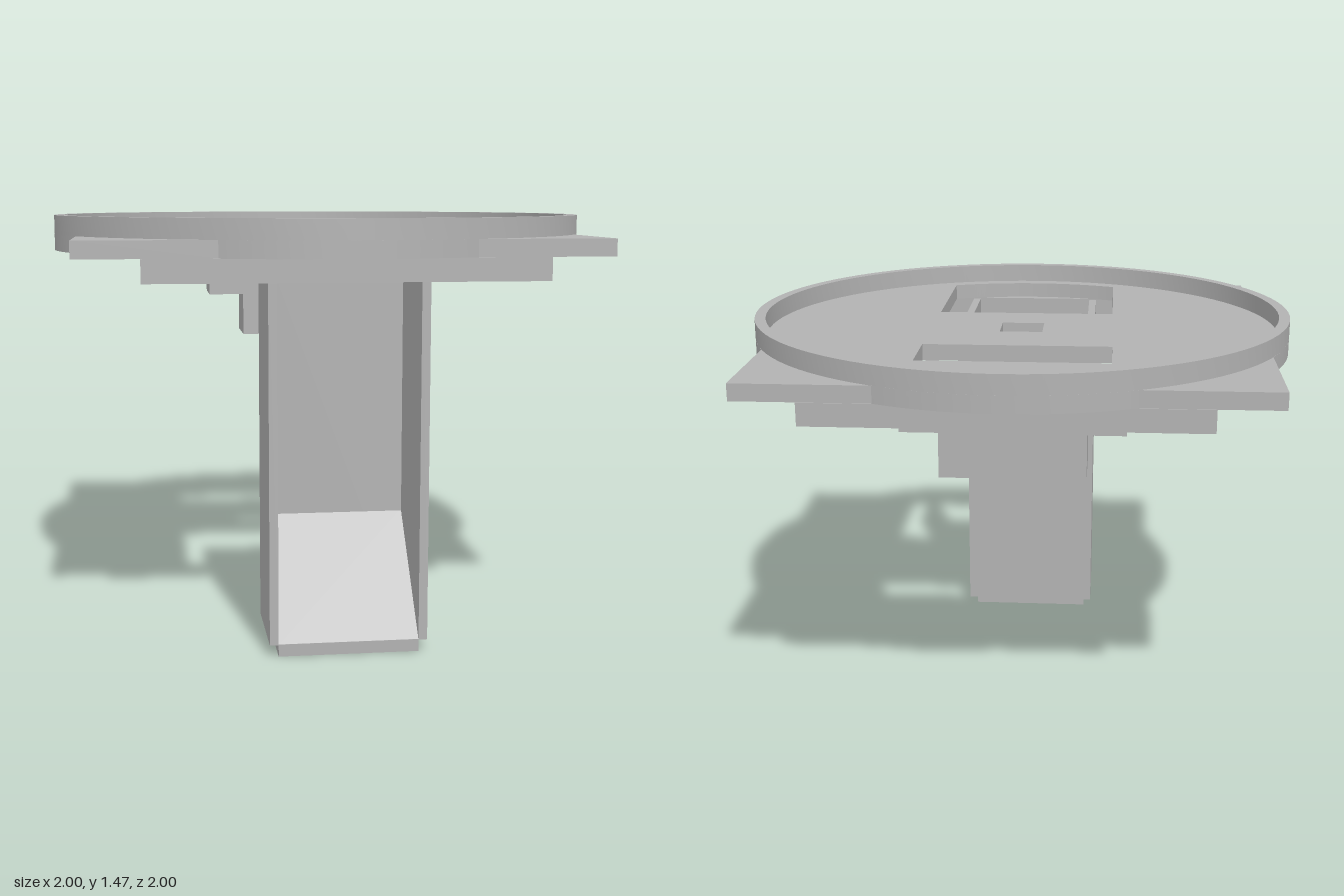
import * as THREE from 'three';
import { toCreasedNormals } from 'three/addons/utils/BufferGeometryUtils.js';

const grey = new THREE.MeshStandardMaterial({ color: 0xb2b2b2 });
grey.name = 'plain grey';

// Closed outline through [x, z] points
const outline = (pts) => new THREE.Shape(pts.map(([x, z]) => new THREE.Vector2(x, z)));
const rect = (x, z0, z1) => outline([[-x, z0], [x, z0], [x, z1], [-x, z1]]);

export function createModel() {
  const model = new THREE.Group();

  const add = (name, geometry) => {
    const mesh = new THREE.Mesh(geometry, grey);
    mesh.name = name;
    model.add(mesh);
    return mesh;
  };

  // Plan outline (x, z) extruded between two heights
  const slab = (name, shape, y0, y1, holes = []) => {
    shape.holes.push(...holes);
    const g = new THREE.ExtrudeGeometry(shape, { depth: y1 - y0, bevelEnabled: false, curveSegments: 48 });
    g.rotateX(Math.PI / 2).translate(0, y1, 0);
    return add(name, toCreasedNormals(g, 0.4));
  };

  // Deck: square plate merged with a disc that bulges past each side
  const half = 0.903, phi = Math.acos(half);
  const deck = new THREE.Shape();
  for (let k = 0; k < 4; k++) {
    const a = k * Math.PI / 2, c = a + Math.PI / 4;
    deck.absarc(0, 0, 1, a - phi, a + phi, false);
    deck.lineTo(half * Math.SQRT2 * Math.cos(c), half * Math.SQRT2 * Math.sin(c));
  }
  deck.closePath();

  // Front opening ends in an arc that follows the rim
  const w = 0.343, r = 0.9, t = Math.acos(w / r);
  const frontOpening = new THREE.Path();
  frontOpening.moveTo(-w, 0.26);
  frontOpening.lineTo(w, 0.26);
  frontOpening.absarc(0, 0, r, t, Math.PI - t, false);
  frontOpening.closePath();

  slab('deck', deck, 1.34, 1.4, [frontOpening, rect(0.08, -0.08, 0.075), rect(w, -0.555, -0.307)]);

  // Raised circular rim
  const rim = new THREE.Shape().absarc(0, 0, 1, 0, Math.PI * 2, false);
  slab('rim', rim, 1.4, 1.47, [new THREE.Path().absarc(0, 0, 0.96, 0, Math.PI * 2, true)]);

  // Rectangular frame under the deck
  slab('underFrame', rect(0.68, -0.907, 0.91), 1.26, 1.34, [rect(0.64, -0.865, 0.865)]);

  // Chute: U-shaped walls open to the front
  slab('chuteWalls', outline([
    [-0.27, 0.54], [0.27, 0.54], [0.27, 0.909], [0.24, 0.909],
    [0.24, 0.57], [-0.24, 0.57], [-0.24, 0.909], [-0.27, 0.909],
  ]), 0.04, 1.335);
  slab('chuteFoot', rect(0.24, 0.575, 0.909), 0, 0.042);

  // Sloping chute floor, profile in (z, y)
  const ramp = new THREE.ExtrudeGeometry(
    outline([[-0.909, 0.04], [-0.565, 0.04], [-0.565, 0.42]]),
    { depth: 0.48, bevelEnabled: false });
  ramp.rotateY(Math.PI / 2).translate(-0.24, 0, 0);
  add('chuteRamp', ramp);

  // Rear socket: flange and tube hung from two posts
  const socketHole = () => rect(0.227, -0.52, -0.345);
  slab('socketFlange', rect(0.4, -0.552, -0.307), 1.14, 1.2, [socketHole()]);
  slab('socketTube', rect(0.262, -0.552, -0.307), 0.975, 1.14, [socketHole()]);
  for (const s of [-1, 1]) {
    const post = add('socketPost', new THREE.BoxGeometry(0.065, 0.14, 0.21));
    post.position.set(s * 0.3675, 1.27, -0.427);
  }

  return model;
}
